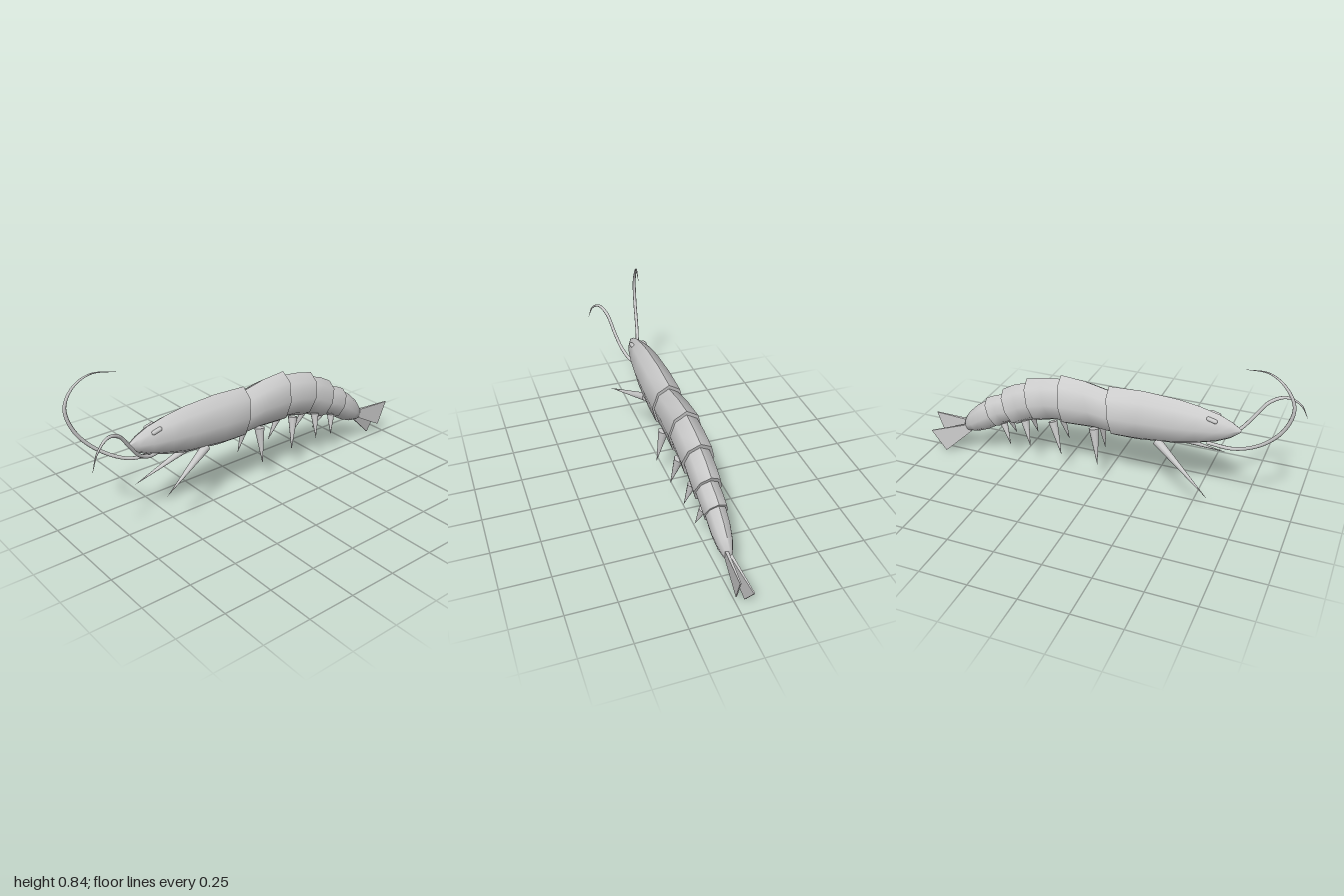
import * as THREE from 'three';
import { toCreasedNormals } from 'three/addons/utils/BufferGeometryUtils.js';
import { ConvexGeometry } from 'three/addons/geometries/ConvexGeometry.js';

const CX = -0.011; // body axis
const SIDES = 8;
const material = new THREE.MeshStandardMaterial({ color: 0xcccccc });
const vec = (p) => new THREE.Vector3(...p);

function add(group, name, geometry) {
  const mesh = new THREE.Mesh(geometry, material);
  mesh.name = name;
  group.add(mesh);
  return mesh;
}

// Slanted eight-sided rings, each [top z, top y, bottom z, bottom y, half width], closed at both ends
function shell(rings) {
  const closed = (r) => {
    const z = (r[0] + r[2]) / 2, y = (r[1] + r[3]) / 2;
    return [z, y, z, y, 0];
  };
  const all = [closed(rings[0]), ...rings, closed(rings[rings.length - 1])];
  const pos = [], index = [];
  all.forEach(([zt, yt, zb, yb, w], i) => {
    for (let k = 0; k < SIDES; k++) {
      const a = (k / SIDES) * Math.PI * 2, t = (1 - Math.cos(a)) / 2;
      pos.push(CX + w * Math.sin(a), yt + (yb - yt) * t, zt + (zb - zt) * t);
      if (i === all.length - 1) continue;
      const p = i * SIDES + k, q = i * SIDES + ((k + 1) % SIDES);
      index.push(p, q, p + SIDES, q, q + SIDES, p + SIDES);
    }
  });
  const g = new THREE.BufferGeometry();
  g.setAttribute('position', new THREE.Float32BufferAttribute(pos, 3));
  g.setIndex(index);
  return toCreasedNormals(g, 0.95);
}

// Cone from a root to a pointed tip
function spike(group, name, root, tip, radius) {
  const a = vec(root), d = vec(tip).sub(a);
  const g = new THREE.ConeGeometry(radius, d.length(), 10);
  const mesh = add(group, name, g);
  mesh.position.copy(a).addScaledVector(d, 0.5);
  mesh.quaternion.setFromUnitVectors(new THREE.Vector3(0, 1, 0), d.normalize());
}

// Tube that narrows to a point over its outer part
function feeler(points, radius) {
  const curve = new THREE.CatmullRomCurve3(points.map(vec));
  const steps = 48, sides = 8;
  const g = new THREE.TubeGeometry(curve, steps, radius, sides);
  const p = g.attributes.position, v = new THREE.Vector3();
  for (let i = 0; i < p.count; i++) {
    const u = Math.floor(i / (sides + 1)) / steps;
    const shrink = Math.max(0, (u - 0.6) / 0.4) ** 1.3;
    v.fromBufferAttribute(p, i).lerp(curve.getPointAt(u), shrink * 0.95);
    p.setXYZ(i, v.x, v.y, v.z);
  }
  return g;
}

export function createModel() {
  const model = new THREE.Group();
  model.name = 'shrimp';

  // Head shield
  add(model, 'carapace', shell([
    [0.72, 0.475, 0.715, 0.458, 0.006],
    [0.67, 0.508, 0.67, 0.42, 0.028],
    [0.61, 0.535, 0.6, 0.385, 0.047],
    [0.51, 0.56, 0.5, 0.355, 0.064],
    [0.4, 0.577, 0.4, 0.33, 0.075],
    [0.22, 0.586, 0.2, 0.307, 0.083],
    [0.04, 0.577, 0.08, 0.305, 0.084],
  ]));

  // Overlapping tail segments
  const segments = [
    [[0.08, 0.55, 0.1, 0.325, 0.07], [0.02, 0.557, 0.06, 0.32, 0.077],
      [-0.09, 0.58, -0.01, 0.325, 0.08], [-0.22, 0.59, -0.19, 0.315, 0.087]],
    [[-0.19, 0.57, -0.15, 0.335, 0.074], [-0.235, 0.566, -0.2, 0.33, 0.08],
      [-0.32, 0.555, -0.26, 0.325, 0.082], [-0.415, 0.532, -0.35, 0.3, 0.083]],
    [[-0.38, 0.515, -0.32, 0.32, 0.066], [-0.42, 0.506, -0.36, 0.31, 0.07],
      [-0.49, 0.482, -0.41, 0.285, 0.071], [-0.558, 0.443, -0.48, 0.25, 0.071]],
    [[-0.52, 0.43, -0.44, 0.28, 0.056], [-0.56, 0.412, -0.49, 0.265, 0.06],
      [-0.615, 0.392, -0.54, 0.245, 0.061], [-0.662, 0.368, -0.59, 0.213, 0.06]],
    [[-0.63, 0.36, -0.55, 0.235, 0.046], [-0.665, 0.352, -0.6, 0.215, 0.052],
      [-0.72, 0.312, -0.66, 0.178, 0.05], [-0.77, 0.262, -0.725, 0.15, 0.04],
      [-0.797, 0.218, -0.78, 0.143, 0.024], [-0.803, 0.195, -0.796, 0.153, 0.012]],
  ];
  segments.forEach((rings, i) => add(model, `tailSegment${i + 1}`, shell(rings)));

  // Tail fan blades: narrow root, wide flat end
  const blade = (name, corners) => {
    const points = corners.flatMap(([x, y, z, t]) => [vec([x - t, y, z]), vec([x + t, y, z])]);
    add(model, name, toCreasedNormals(new ConvexGeometry(points), 0.5));
  };
  blade('leftTailFan', [[-0.002, 0.205, -0.785, 0.008], [-0.004, 0.155, -0.785, 0.008],
    [0.014, 0.2, -0.995, 0.003], [0.008, 0.067, -0.945, 0.003]]);
  blade('rightTailFan', [[-0.018, 0.185, -0.78, 0.008], [-0.018, 0.145, -0.765, 0.008],
    [-0.055, 0.118, -0.998, 0.003], [-0.049, 0.004, -0.918, 0.003]]);

  // Eyes
  for (const s of [-1, 1]) {
    const eye = add(model, s > 0 ? 'leftEye' : 'rightEye', new THREE.CapsuleGeometry(0.011, 0.035, 4, 10));
    eye.position.set(CX + s * 0.034, 0.517, 0.58);
    eye.rotation.set(Math.PI / 2 + 0.25, 0, 0);
  }

  // Antennae
  add(model, 'rightAntenna', feeler([[-0.025, 0.376, 0.56], [-0.045, 0.385, 0.7], [-0.083, 0.465, 0.84],
    [-0.103, 0.58, 0.935], [-0.11, 0.7, 0.965], [-0.105, 0.79, 0.917],
    [-0.088, 0.835, 0.837], [-0.064, 0.823, 0.72]], 0.009));
  add(model, 'leftAntenna', feeler([[0.01, 0.397, 0.58], [0.03, 0.405, 0.635], [0.053, 0.443, 0.7],
    [0.074, 0.513, 0.757], [0.094, 0.594, 0.82], [0.119, 0.62, 0.89],
    [0.147, 0.58, 0.96], [0.163, 0.502, 0.999]], 0.009));

  // Long front limbs
  spike(model, 'rightFrontLimb', [-0.05, 0.345, 0.31], [-0.165, 0.15, 0.61], 0.023);
  spike(model, 'leftFrontLimb', [0.03, 0.345, 0.31], [0.145, 0.235, 0.62], 0.023);

  // Four pairs of swimming legs: root z, root y, root spread, tip z, tip y, tip spread, radius
  const legs = [
    [-0.02, 0.35, 0.052, 0, 0.158, 0.088, 0.027],
    [-0.25, 0.34, 0.048, -0.203, 0.167, 0.082, 0.025],
    [-0.415, 0.305, 0.04, -0.385, 0.173, 0.075, 0.022],
    [-0.545, 0.255, 0.032, -0.508, 0.15, 0.062, 0.02],
  ];
  legs.forEach(([rz, ry, rx, tz, ty, tx, radius], i) => {
    for (const s of [-1, 1]) {
      spike(model, `${s > 0 ? 'left' : 'right'}Leg${i + 1}`,
        [CX + s * rx, ry, rz], [CX + s * tx, ty, tz - s * 0.013], radius);
    }
  });

  return model;
}
